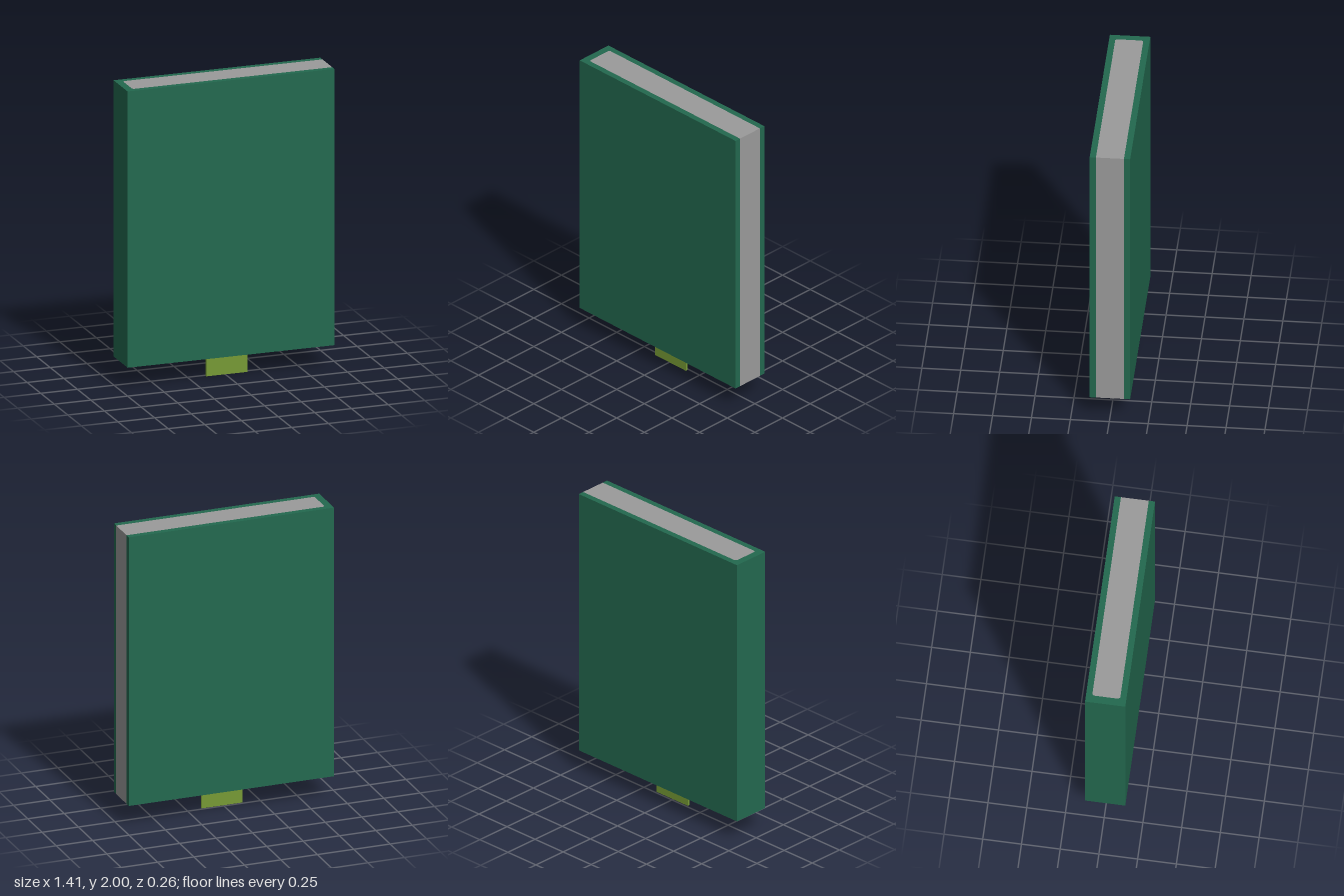
import * as THREE from 'three';

const W = 0.705;       // half width
const T = 0.13;        // half thickness
const PAGE = 0.09;     // half thickness of the pages
const SPINE = -0.657;  // inner face of the spine
const CUT = 0.01;      // chamfer of the pages at the spine
const BOTTOM = 0.15, TOP = 2;

const coverGreen = new THREE.MeshStandardMaterial({ color: 0x23694f });
coverGreen.name = 'coverGreen';
const pageGrey = new THREE.MeshStandardMaterial({ color: 0x9b9b9b });
pageGrey.name = 'pageGrey';
const ribbonGreen = new THREE.MeshStandardMaterial({ color: 0x769a35 });
ribbonGreen.name = 'ribbonGreen';

// Extrudes a plan outline upwards over the height of the book
function upright(name, points, material) {
  const shape = new THREE.Shape(points.map(([x, y]) => new THREE.Vector2(x, y)));
  const geometry = new THREE.ExtrudeGeometry(shape, { depth: TOP - BOTTOM, bevelEnabled: false });
  geometry.rotateX(-Math.PI / 2).translate(0, BOTTOM, 0);
  const mesh = new THREE.Mesh(geometry, material);
  mesh.name = name;
  return mesh;
}

export function createModel() {
  const book = new THREE.Group();
  book.name = 'book';

  // Outline shared by the page block and the inside of the cover
  const inner = [
    [W, PAGE], [SPINE + CUT, PAGE], [SPINE, PAGE - CUT],
    [SPINE, -PAGE + CUT], [SPINE + CUT, -PAGE], [W, -PAGE],
  ];

  // Front board, spine and back board in one U-shaped wrap
  book.add(upright('cover', [[W, -T], [W, -PAGE], ...inner.slice(1, 5).reverse(),
    [W, PAGE], [W, T], [-W, T], [-W, -T]], coverGreen));

  // Page block, flush with the cover edges
  book.add(upright('pages', inner, pageGrey));

  // Ribbon bookmark hanging below the pages
  const ribbon = new THREE.Mesh(new THREE.BoxGeometry(0.28, BOTTOM + 0.02, 0.013), ribbonGreen);
  ribbon.name = 'bookmarkRibbon';
  ribbon.position.set(0.01, (BOTTOM + 0.02) / 2, 0.018);
  book.add(ribbon);

  return book;
}
